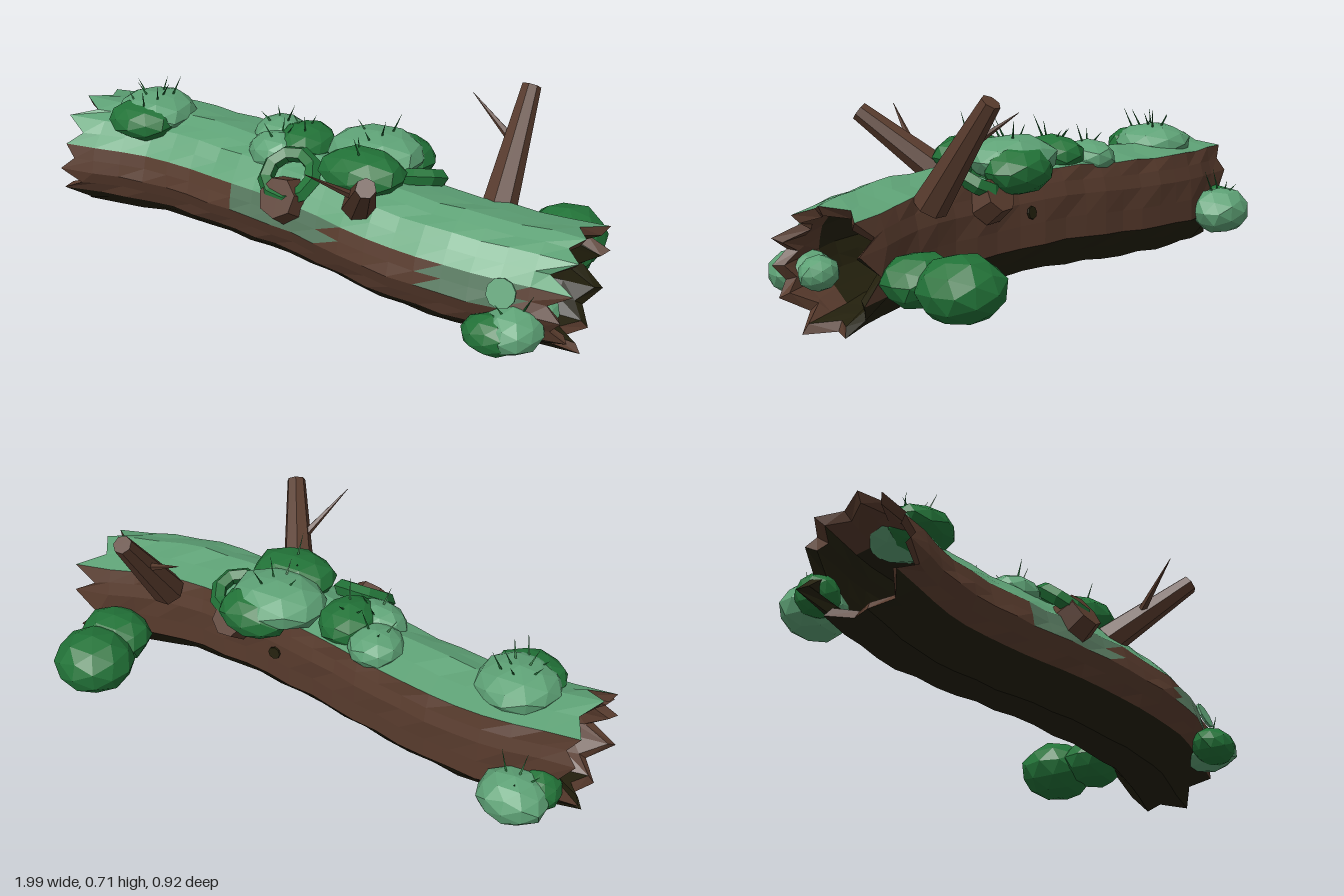
import * as THREE from 'three';

const mat = (name, color) => Object.assign(new THREE.MeshStandardMaterial({ color }), { name });
const V = (a) => new THREE.Vector3(...a);

export function createModel() {
  const root = new THREE.Group();
  root.name = 'mossyHollowLog';
  const bark = mat('barkBrown', 0x583b2d);
  const dark = mat('dampDarkBark', 0x23200d);
  const moss = mat('lightMoss', 0x5ea276);
  const thinMoss = mat('thinMossOnBark', 0x587a60);
  const leaf = mat('deepGreen', 0x227338);

  const flat = (g) => {
    const f = g.index ? g.toNonIndexed() : g;
    f.computeVertexNormals();
    return f;
  };
  const add = (name, geo, material, parent = root) => {
    const m = new THREE.Mesh(flat(geo), material);
    m.name = name;
    parent.add(m);
    return m;
  };

  // ---- Log: a faceted, hollow, S-curved trunk with splintered ends ----
  const spine = new THREE.CatmullRomCurve3([
    [-0.95, 0.235, -0.03], [-0.62, 0.24, -0.07], [-0.3, 0.245, -0.03], [0, 0.255, 0.03],
    [0.33, 0.24, 0.1], [0.64, 0.23, 0.115], [0.95, 0.2, 0.06],
  ].map(V));
  // cross-section (z, y), from the back of the top over the front and round
  const section = [
    [-0.165, 0.165], [0, 0.2], [0.1, 0.165], [0.17, 0.085], [0.195, -0.005],
    [0.16, -0.1], [0.05, -0.195], [-0.1, -0.185], [-0.19, -0.08], [-0.19, 0.07],
  ];
  const N = section.length * 2, RINGS = 20;
  const around = (i) => {
    const k = Math.floor(i / 2) % section.length, a = section[k], b = section[(k + 1) % section.length];
    return i % 2 ? [(a[0] + b[0]) / 2, (a[1] + b[1]) / 2] : a;
  };
  const point = (j, i, inner) => {
    i %= N;
    const c = spine.getPoint(j / RINGS), [z, y] = around(i);
    // the wall is thinner at the rims than in the middle
    const wall = inner ? 0.84 - 0.06 * Math.sin((Math.PI * j) / RINGS) : 1;
    const s = wall * (1 + 0.02 * Math.sin(j * 2.3 + Math.floor(i / 2) * 1.7));
    const p = new THREE.Vector3(c.x, c.y + y * s, c.z + z * s);
    const end = j === 0 ? -1 : j === RINGS ? 1 : 0;
    // alternate long and short splinters around the rim
    const tooth = (i % 2 ? -0.035 : 0.03) + 0.015 * Math.sin(i * 2.1 + end);
    p.x += end * (tooth - (inner ? 0.02 : 0));
    return p;
  };
  const outerColour = (band, x) => {
    if (band <= 2) return moss;
    if (band === 3) return (x > -0.24 && x < 0.145) || (x > 0.52 && x < 0.81) ? thinMoss : bark;
    return band === 4 || band >= 8 ? bark : dark;
  };
  const faces = new Map([[bark, []], [dark, []], [moss, []], [thinMoss, []]]);
  const tri = (material, a, b, c) => [a, b, c].forEach((p) => faces.get(material).push(p.x, p.y, p.z));
  for (let i = 0; i < N; i++) {
    const band = Math.floor(i / 2);
    for (let j = 0; j < RINGS; j++) {
      const corners = [[j, i], [j + 1, i], [j, i + 1], [j + 1, i + 1]];
      const [a, b, c, d] = corners.map(([r, s]) => point(r, s, false));
      // the slanted patch edges follow the facet diagonals
      tri(outerColour(band, (a.x + b.x + c.x) / 3), a, c, b);
      tri(outerColour(band, (b.x + c.x + d.x) / 3), b, c, d);
      const nearEnd = j < 2 || j >= RINGS - 2;
      const inside = nearEnd && band <= 5 ? bark : dark;
      const [e, f, g, h] = corners.map(([r, s]) => point(r, s, true));
      tri(inside, e, f, g);
      tri(inside, f, h, g);
    }
    // rims joining bark and hollow
    const rim = band <= 6 || band === 9 ? bark : dark;
    for (const j of [0, RINGS]) {
      const [a, b, c, d] = [point(j, i, false), point(j, i + 1, false), point(j, i, true), point(j, i + 1, true)];
      if (j) { tri(rim, a, b, c); tri(rim, b, d, c); } else { tri(rim, a, c, b); tri(rim, b, c, d); }
    }
  }
  const log = new THREE.Group();
  log.name = 'log';
  root.add(log);
  const partNames = new Map([[bark, 'barkSides'], [dark, 'darkUnderside'], [moss, 'mossCover'], [thinMoss, 'thinMossPatches']]);
  for (const [m, list] of faces) {
    const g = new THREE.BufferGeometry();
    g.setAttribute('position', new THREE.Float32BufferAttribute(list, 3));
    add(partNames.get(m), g, m, log);
  }

  // ---- Branches: tapered sticks between two points ----
  const stick = (name, from, to, r0, r1, material = bark, sides = 7) => {
    const a = V(from), dir = V(to).sub(a);
    const m = add(name, new THREE.CylinderGeometry(r1, r0, dir.length(), sides), material);
    m.position.copy(a).addScaledVector(dir, 0.5);
    m.quaternion.setFromUnitVectors(new THREE.Vector3(0, 1, 0), dir.normalize());
    return m;
  };
  stick('frontBranch', [0.228, 0.382, 0.17], [0.378, 0.607, 0.43], 0.058, 0.033);
  stick('frontTwig', [0.28, 0.47, 0.27], [0.18, 0.615, 0.45], 0.017, 0.001, bark, 5);
  stick('backBranch', [0.62, 0.365, -0.078], [0.62, 0.7, -0.318], 0.06, 0.033);
  stick('backTwig', [0.615, 0.54, -0.2], [0.43, 0.65, -0.28], 0.017, 0.001, bark, 5);
  stick('frontStub', [-0.035, 0.335, 0.165], [-0.045, 0.375, 0.235], 0.085, 0.07);
  stick('backStub', [0.335, 0.33, -0.07], [0.34, 0.37, -0.14], 0.075, 0.06);

  // ---- Thin plates on the bark: a dark knot behind, a moss oval in front ----
  stick('barkKnot', [0.16, 0.285, -0.128], [0.16, 0.286, -0.136], 0.022, 0.022, dark, 8);
  stick('mossOval', [0.78, 0.272, 0.288], [0.78, 0.275, 0.296], 0.05, 0.05, moss, 10);

  // ---- Moss collars around the broken stubs ----
  const collar = (x, y, z, r, rx, ry) => {
    const m = add('mossCollar', new THREE.TorusGeometry(r, 0.029, 5, 9), leaf);
    m.position.set(x, y, z);
    m.rotation.set(rx, ry, 0);
  };
  collar(-0.04, 0.42, 0.15, 0.085, -0.9, 0);
  collar(0.345, 0.415, -0.045, 0.075, 1.1, 0.2);

  // ---- Bushes: squashed faceted blobs; the last value is the number of grass blades ----
  const bushes = [
    [[-0.7, 0.43, -0.06], [0.14, 0.07, 0.14], moss, 6],
    [[-0.71, 0.42, 0.01], [0.125, 0.065, 0.105], leaf, 2],
    [[-0.8, 0.18, -0.3], [0.12, 0.085, 0.1], moss, 4],
    [[-0.87, 0.19, -0.24], [0.07, 0.07, 0.07], leaf, 0],
    [[-0.21, 0.43, -0.1], [0.095, 0.06, 0.1], moss, 3],
    [[-0.08, 0.45, -0.04], [0.1, 0.065, 0.12], leaf, 3],
    [[-0.15, 0.43, 0.02], [0.11, 0.065, 0.09], moss, 3],
    [[0.18, 0.465, -0.065], [0.17, 0.078, 0.14], moss, 4],
    [[0.2, 0.465, 0.09], [0.15, 0.075, 0.11], leaf, 2],
    [[0.23, 0.435, -0.13], [0.13, 0.08, 0.1], leaf, 0],
    [[0.82, 0.15, 0.28], [0.1, 0.075, 0.11], moss, 3],
    [[0.86, 0.165, 0.165], [0.07, 0.055, 0.06], moss, 0],
    [[0.77, 0.14, 0.325], [0.1, 0.065, 0.075], leaf, 0],
    [[0.78, 0.165, -0.33], [0.14, 0.105, 0.135], leaf, 0],
    [[0.79, 0.175, -0.18], [0.13, 0.085, 0.11], leaf, 0],
  ];
  bushes.forEach(([c, s, material, blades], n) => {
    const g = new THREE.IcosahedronGeometry(1, 1), p = g.attributes.position, v = new THREE.Vector3();
    for (let i = 0; i < p.count; i++) {
      v.fromBufferAttribute(p, i);
      v.multiplyScalar(1.02 + 0.04 * Math.sin(v.x * 4 + n) * Math.cos(v.z * 5 + v.y * 3));
      p.setXYZ(i, v.x * s[0], v.y * s[1], v.z * s[2]);
    }
    add(material === moss ? 'lightBush' : 'darkBush', g, material).position.set(...c);
    // grass blades fanning out of the top
    for (let k = 0; k < blades; k++) {
      const a = k * 2.4 + n, q = 0.15 + 0.3 * (k / blades);
      const from = [c[0] + Math.cos(a) * s[0] * q, c[1] + s[1] * 0.75, c[2] + Math.sin(a) * s[2] * q];
      const to = [from[0] + Math.cos(a) * 0.035, from[1] + 0.06 + 0.025 * Math.sin(k * 3 + n), from[2] + Math.sin(a) * 0.035];
      stick('grassBlade', from, to, 0.005, 0.0004, leaf, 3);
    }
  });
  return root;
}
